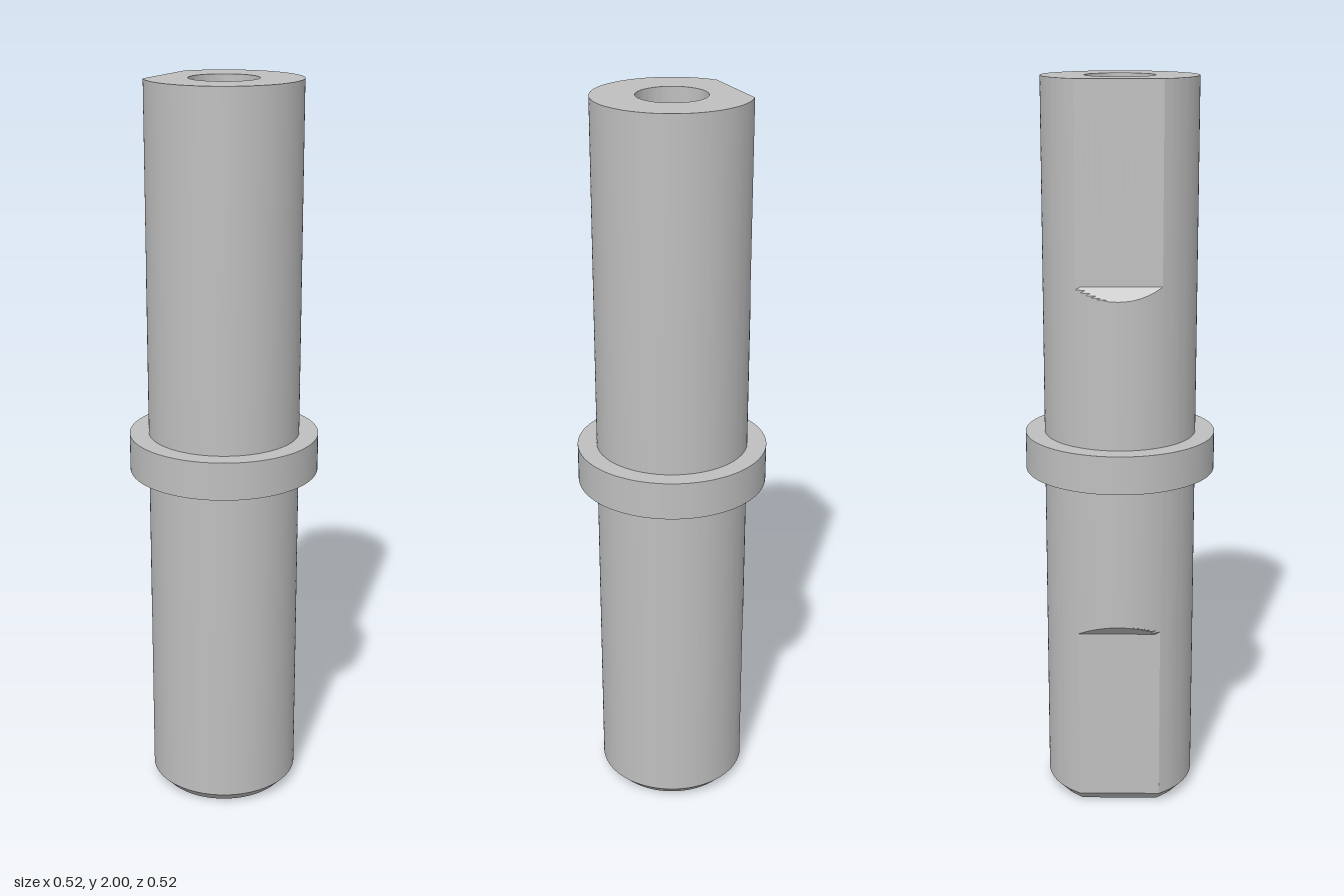
import * as THREE from 'three';
import { toCreasedNormals } from 'three/addons/utils/BufferGeometryUtils.js';

const R = 0.206, FLAT = 0.173;          // shaft radius, distance of the flats from the axis
const CORNER = Math.acos(FLAT / R);     // half angle covered by a flat
const N_FLAT = 16, N_ARC = 96;

// Round cross-section, cut off at x = -flat; both corners fall on sample points
function ring(r, y, flat = r, corner = CORNER) {
  const points = [];
  for (let i = 0; i <= N_FLAT + N_ARC; i++) {
    const a = i <= N_FLAT
      ? corner * (2 * i / N_FLAT - 1)
      : corner + (2 * Math.PI - 2 * corner) * (i - N_FLAT) / N_ARC;
    points.push(new THREE.Vector3(Math.max(-r * Math.cos(a), -flat), y, r * Math.sin(a)));
  }
  return points;
}

// Skin a list of cross-sections
function loft(rings) {
  const n = rings[0].length, index = [];
  const geometry = new THREE.BufferGeometry().setFromPoints(rings.flat());
  for (let j = 0; j < rings.length - 1; j++) {
    for (let i = 0; i < n - 1; i++) {
      const a = j * n + i, b = a + n;
      index.push(a, a + 1, b + 1, a, b + 1, b);
    }
  }
  geometry.setIndex(index);
  return toCreasedNormals(geometry.toNonIndexed(), 0.3);
}

export function createModel() {
  const steel = new THREE.MeshStandardMaterial({ color: 0xbfbfbf });
  steel.name = 'steel';
  const group = new THREE.Group();
  group.name = 'shaft';
  const add = (name, geometry) => {
    const mesh = new THREE.Mesh(geometry, steel);
    mesh.name = name;
    group.add(mesh);
    return mesh;
  };

  // Sloped run-outs where the flats meet the full round shaft
  const slope = (yFlat, yRound) => {
    const rings = [];
    for (let k = N_FLAT / 2; k >= 0; k--) {
      const flat = R * Math.cos(CORNER * 2 * k / N_FLAT);
      rings.push(ring(R, THREE.MathUtils.mapLinear(flat, FLAT, R, yFlat, yRound), flat));
    }
    return rings;
  };

  // Shaft: lower bore, chamfered foot, flats at both ends, upper bore
  const bore = 0.092, depth = 0.4, inset = 0.028;
  add('shaftBody', loft([
    ring(0.0001, depth), ring(bore, depth),
    ring(bore, 0.027), ring(0.12, 0),
    ring(R - inset, 0, FLAT - inset, Math.acos((FLAT - inset) / (R - inset))),
    ring(R, 0.03, FLAT),
    ...slope(0.52, 0.553),
    ...slope(1.483, 1.45).reverse(),
    ring(R, 2, FLAT),
    ring(bore, 2), ring(bore, 2 - depth), ring(0.0001, 2 - depth),
  ]));

  // Collar around the middle
  add('collar', new THREE.CylinderGeometry(0.258, 0.258, 0.104, 112)).position.y = 1.003;

  return group;
}
